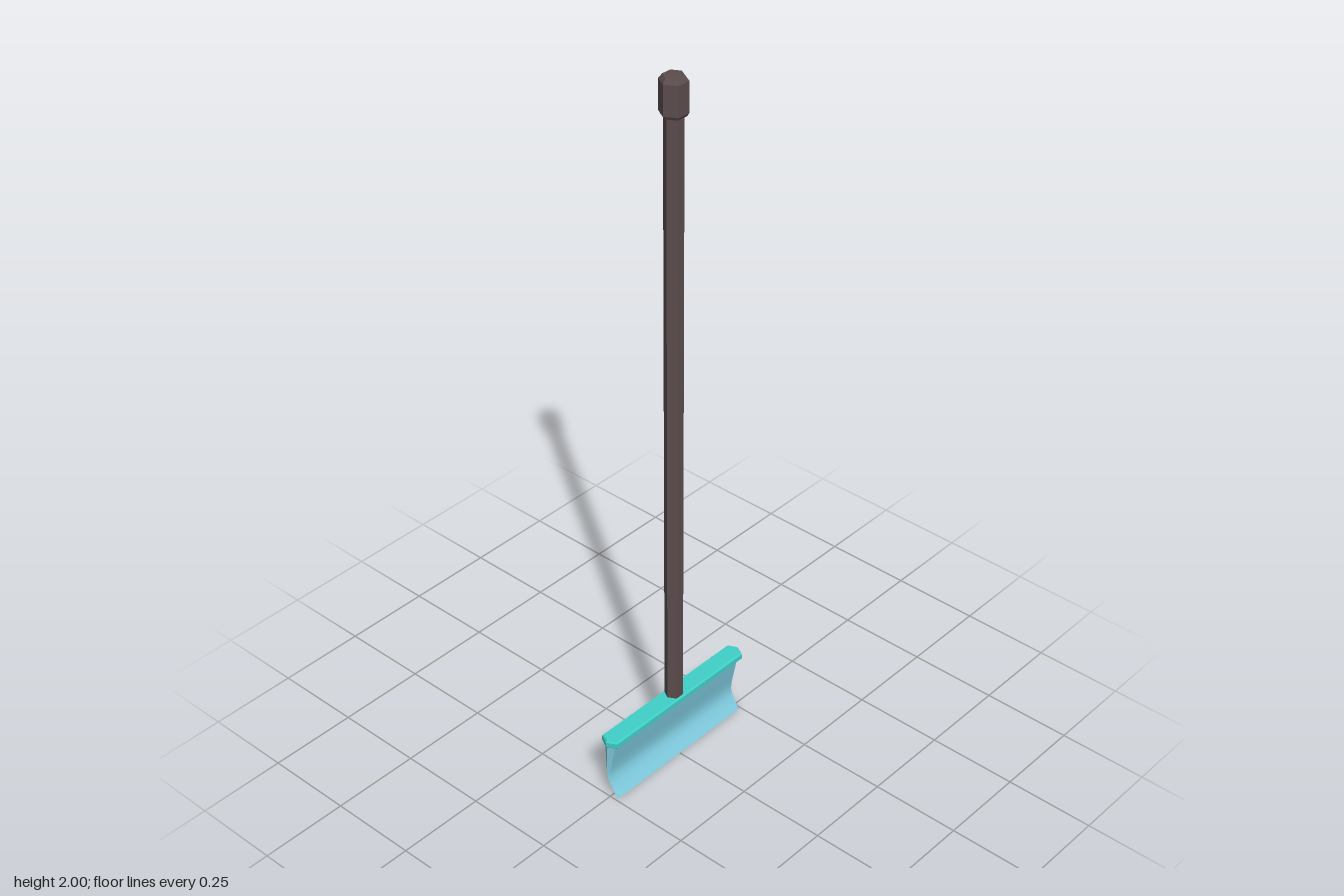
import * as THREE from 'three';

const mat = (name, color) => {
  const m = new THREE.MeshStandardMaterial({ color });
  m.name = name;
  return m;
};

// Loft six-sided rings: creased along the corners, smooth from ring to ring
function loft(rings) {
  const pos = [], idx = [];
  const sides = rings[0].length;
  for (let s = 0; s < sides; s++) {
    const base = pos.length / 3;
    for (const r of rings) pos.push(...r[s], ...r[(s + 1) % sides]);
    for (let i = 0; i < rings.length - 1; i++) {
      const a = base + i * 2;
      idx.push(a, a + 1, a + 2, a + 1, a + 3, a + 2);
    }
  }
  // End caps
  [rings[0], rings[rings.length - 1]].forEach((r, k) => {
    const base = pos.length / 3;
    r.forEach((p) => pos.push(...p));
    for (let i = 1; i < sides - 1; i++) {
      if (k === 0) idx.push(base, base + i + 1, base + i);
      else idx.push(base, base + i, base + i + 1);
    }
  });
  const g = new THREE.BufferGeometry();
  g.setAttribute('position', new THREE.Float32BufferAttribute(pos, 3));
  g.setIndex(idx);
  g.computeVertexNormals();
  return g;
}

// Hexagonal ring with pointed left and right ends
const hexRing = (y, front, back, x, tip) => {
  const mid = (front + back) / 2;
  return [[x, y, front], [x + tip, y, mid], [x, y, back],
    [-x, y, back], [-x - tip, y, mid], [-x, y, front]];
};

export function createModel() {
  const group = new THREE.Group();
  const wood = mat('dark brown', 0x5c4d4d);
  const teal = mat('teal', 0x40d0c8);
  const blue = mat('light blue', 0x80cce0);

  const add = (name, geometry, material) => {
    const m = new THREE.Mesh(geometry, material);
    m.name = name;
    group.add(m);
    return m;
  };

  // Six-sided handle and its bevelled grip, corners facing left and right
  const hexPart = (name, profile) => {
    const points = profile.map(([r, y]) => new THREE.Vector2(r, y));
    const g = new THREE.LatheGeometry(points, 6).rotateY(Math.PI / 6).toNonIndexed();
    g.computeVertexNormals();
    add(name, g, wood);
  };
  hexPart('handle', [[0, 0.18], [0.025, 0.18], [0.025, 1.91], [0, 1.91]]);
  hexPart('grip', [[0, 1.9], [0.031, 1.9], [0.036, 1.908], [0.036, 1.988], [0.027, 2], [0, 2]]);

  // Bevelled holder bar across the head
  const bar = loft([
    hexRing(0.175, 0.022, -0.024, 0.245, 0.012),
    hexRing(0.179, 0.026, -0.028, 0.247, 0.014),
    hexRing(0.193, 0.026, -0.028, 0.247, 0.014),
    hexRing(0.198, 0.022, -0.024, 0.245, 0.012),
  ]).toNonIndexed();
  bar.computeVertexNormals();
  add('holderBar', bar, teal);

  // Curved blade, thinning to a forward lip: y, front z, back z, end point length
  const stations = [
    [0, 0.022, 0.02, 0.001], [0.018, 0.011, 0.006, 0.002], [0.036, 0.001, -0.007, 0.003],
    [0.055, -0.006, -0.015, 0.004], [0.08, -0.005, -0.018, 0.006], [0.11, 0.001, -0.02, 0.008],
    [0.145, 0.008, -0.021, 0.01], [0.18, 0.014, -0.021, 0.012],
  ];
  add('blade', loft(stations.map(([y, f, b, t]) => hexRing(y, f, b, 0.242, t))), blue);

  return group;
}
